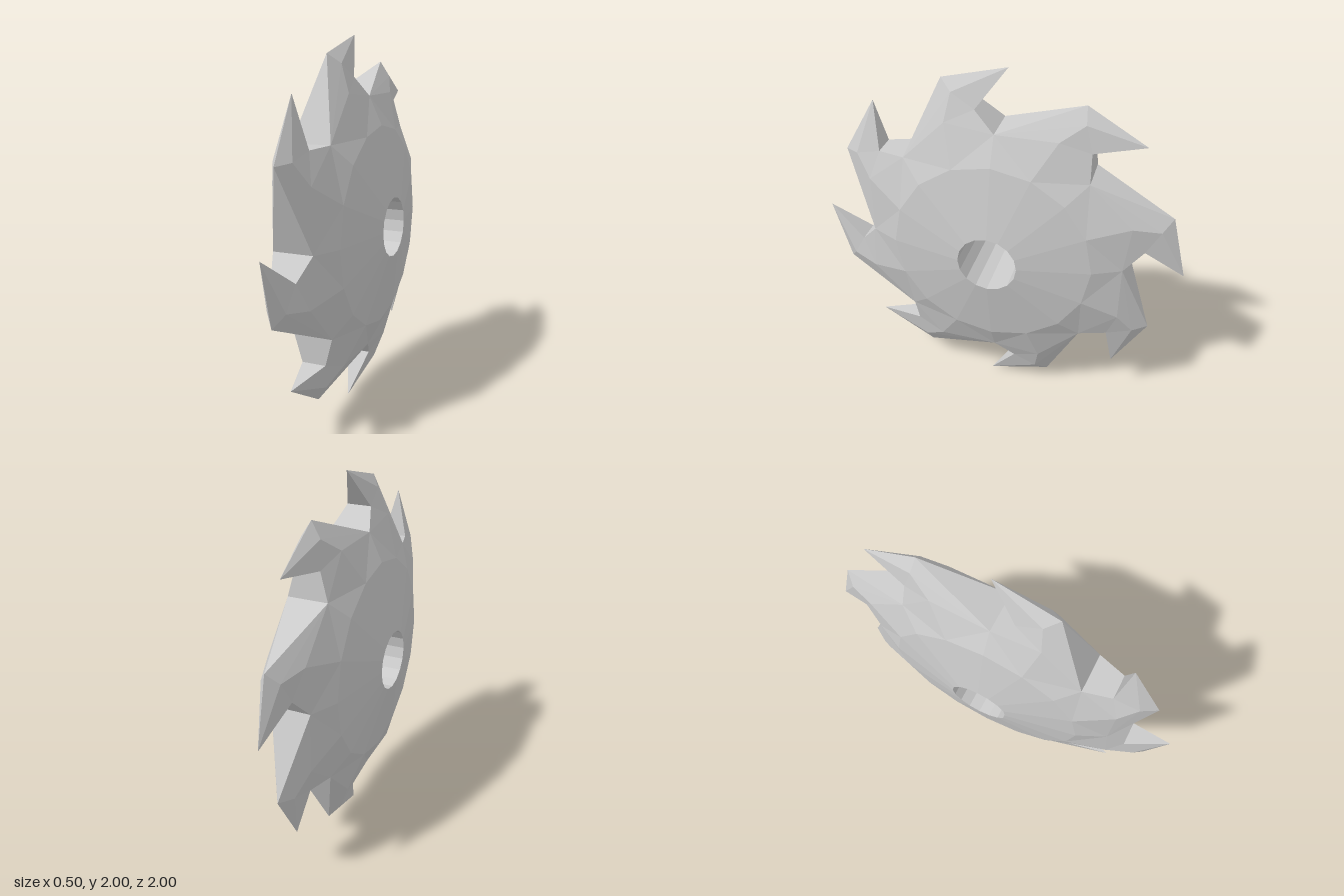
import * as THREE from 'three';

const TEETH = 8;
const HUB_R = 0.54, HUB_X = 0.175;

// Hub: two shallow cones around a 16-sided bore, spun about the x axis
function hubGeometry() {
  const profile = [
    [HUB_R, HUB_X], [0.16, 0.25], [0.16, -0.25], [HUB_R, -HUB_X],
  ].map(([r, h]) => new THREE.Vector2(r, h));
  return new THREE.LatheGeometry(profile, TEETH * 2).rotateZ(-Math.PI / 2);
}

// One hooked tooth with its share of the rim. Points are [u, v, half thickness],
// where u runs towards -z and v runs up from the axle.
function toothGeometry() {
  const polar = (r, deg, x) => {
    const a = THREE.MathUtils.degToRad(deg);
    return [r * Math.cos(a), r * Math.sin(a), x];
  };
  const p = {
    r0: polar(HUB_R, 90, HUB_X),
    r1: polar(HUB_R, 112.5, HUB_X),
    r2: polar(HUB_R, 135, HUB_X),
    v0: polar(0.69, 90, 0.105),      // gullet in front of the tooth
    v1: polar(0.69, 135, 0.105),     // gullet behind it
    notch: [-0.11, 0.79, 0.065],
    tip: [0.045, 1.0, 0],
    back: [-0.3, 0.91, 0],
    ridge: [-0.235, 0.86, 0.05],
    cheek: [-0.26, 0.717, 0.1],
  };
  const side = [
    'r0 v0 r1', 'v0 cheek r1', 'v0 notch cheek', 'notch ridge cheek',
    'notch tip ridge', 'tip back ridge', 'back v1 ridge',
    'v1 cheek ridge', 'v1 r1 cheek', 'r1 v1 r2',
  ];
  const pos = [];
  const put = (name, s) => pos.push(s * p[name][2], p[name][1], -p[name][0]);

  // Both cheeks, mirrored across x
  for (const tri of side) {
    const [a, b, c] = tri.split(' ');
    [a, b, c].forEach((n) => put(n, 1));
    [a, c, b].forEach((n) => put(n, -1));
  }
  // Edge walls joining the cheeks
  const tri = (...corners) => corners.forEach(([n, s]) => put(n, s));
  tri(['v0', 1], ['v0', -1], ['notch', -1]);
  tri(['v0', 1], ['notch', -1], ['notch', 1]);
  tri(['notch', 1], ['notch', -1], ['tip', 1]);
  tri(['back', 1], ['v1', -1], ['v1', 1]);

  const geo = new THREE.BufferGeometry();
  geo.setAttribute('position', new THREE.Float32BufferAttribute(pos, 3));
  geo.computeVertexNormals();
  return geo;
}

export function createModel() {
  const model = new THREE.Group();
  model.name = 'sawBlade';
  const material = new THREE.MeshStandardMaterial({ color: 0xcccccc, flatShading: true });

  const blade = new THREE.Group();
  blade.name = 'blade';
  blade.position.y = 1;
  model.add(blade);

  const hub = new THREE.Mesh(hubGeometry(), material);
  hub.name = 'hub';
  blade.add(hub);

  // Ring of identical teeth
  const toothGeo = toothGeometry();
  for (let i = 0; i < TEETH; i++) {
    const tooth = new THREE.Mesh(toothGeo, material);
    tooth.name = `tooth${i + 1}`;
    tooth.rotation.x = (i / TEETH) * Math.PI * 2;
    blade.add(tooth);
  }
  return model;
}
